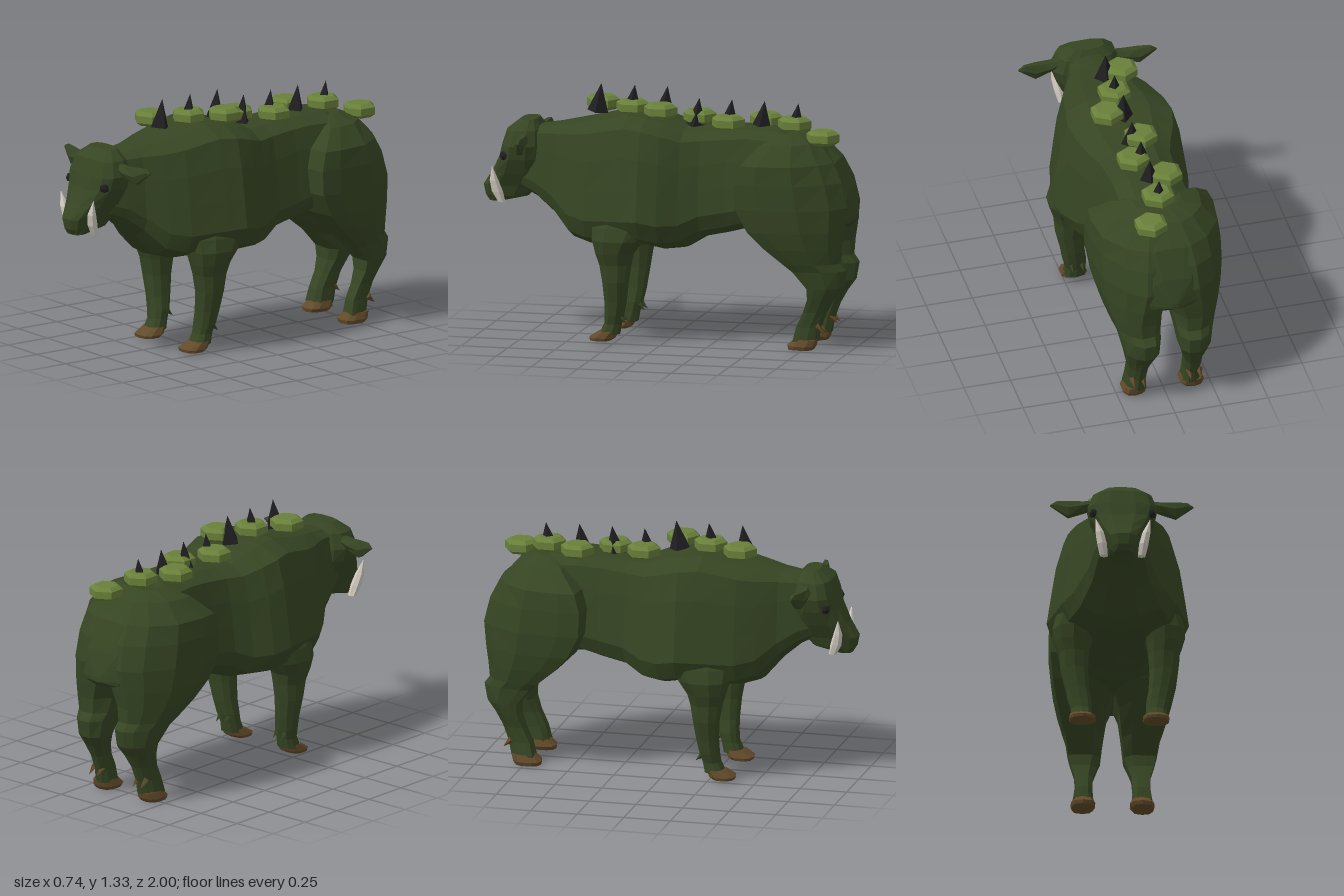
import * as THREE from 'three';

const mat = (name, color) => {
  const m = new THREE.MeshStandardMaterial({ color, flatShading: true });
  m.name = name;
  return m;
};

// Skin a stack of equal-sized rings, cap both ends and face the surface outwards.
function loft(rings) {
  const n = rings[0].length, tris = [];
  const centre = (r) => r.reduce((s, p) => s.add(p), new THREE.Vector3()).divideScalar(n);
  const first = rings[0], last = rings[rings.length - 1];
  const c0 = centre(first), c1 = centre(last);
  for (let j = 0; j < n; j++) {
    const k = (j + 1) % n;
    for (let i = 0; i < rings.length - 1; i++) {
      const a = rings[i], b = rings[i + 1];
      tris.push([a[j], a[k], b[k]], [a[j], b[k], b[j]]);
    }
    tris.push([c0, first[k], first[j]], [c1, last[j], last[k]]);
  }
  let volume = 0;
  for (const [a, b, c] of tris) volume += a.dot(b.clone().cross(c));
  const pts = tris.flatMap(([a, b, c]) => (volume < 0 ? [a, c, b] : [a, b, c]));
  const g = new THREE.BufferGeometry().setFromPoints(pts);
  g.computeVertexNormals();
  return g;
}

// Unit ring of n points; a power below 1 makes it squarer.
function unitRing(n, power) {
  const f = (v) => Math.sign(v) * Math.pow(Math.abs(v), power);
  return Array.from({ length: n }, (_, i) => {
    const t = ((i + 0.5) / n) * Math.PI * 2;
    return [f(Math.cos(t)), f(Math.sin(t))];
  });
}

// Horizontal slices: [y, zFront, zBack, xInner, xOuter], side = 1 or -1.
function slices(levels, ring, side = 1) {
  return loft(levels.map(([y, zf, zb, xi, xo]) => ring.map(([u, v]) => new THREE.Vector3(
    side * ((xi + xo) / 2 + (u * (xo - xi)) / 2), y, (zf + zb) / 2 + (v * (zf - zb)) / 2))));
}

export function createModel() {
  const hide = mat('dark green hide', 0x364523);
  const plateGreen = mat('moss green', 0x698039);
  const black = mat('black', 0x1f1f21);
  const ivory = mat('ivory', 0xd5cec4);
  const brown = mat('hoof brown', 0x624a2a);

  const model = new THREE.Group();
  model.name = 'armouredBoar';
  const add = (name, geometry, material) => {
    const m = new THREE.Mesh(geometry, material);
    m.name = name;
    model.add(m);
    return m;
  };

  // Torso: cross-sections [z, top, bottom, half width]
  const half = [[0, 0], [0.4, 0.02], [0.87, 0.1], [1, 0.24], [0.94, 0.46],
    [0.87, 0.7], [0.76, 0.91], [0.43, 0.985], [0, 1]];
  const outline = [...half, ...half.slice(1, -1).reverse().map(([x, y]) => [-x, y])];
  const torso = [
    [0.78, 1.08, 0.76, 0.11], [0.7, 1.1, 0.72, 0.14], [0.6, 1.115, 0.635, 0.17],
    [0.5, 1.135, 0.52, 0.24], [0.4, 1.155, 0.49, 0.295], [0.2, 1.2, 0.49, 0.345],
    [0.1, 1.19, 0.5, 0.37], [0, 1.165, 0.48, 0.345], [-0.1, 1.13, 0.49, 0.29],
    [-0.2, 1.13, 0.55, 0.25], [-0.34, 1.14, 0.58, 0.235], [-0.45, 1.145, 0.61, 0.235],
    [-0.6, 1.14, 0.6, 0.24], [-0.81, 1.065, 0.6, 0.22], [-0.9, 0.985, 0.62, 0.18],
    [-0.965, 0.83, 0.64, 0.13], [-1, 0.7, 0.67, 0.02],
  ];
  add('torso', loft(torso.map(([z, top, bottom, w]) =>
    outline.map(([x, y]) => new THREE.Vector3(x * w, bottom + y * (top - bottom), z)))), hide);

  // Head, from the poll down to the chin
  add('head', slices([
    [1.13, 0.8, 0.71, -0.09, 0.09], [1.08, 0.865, 0.68, -0.155, 0.155],
    [1.0, 0.89, 0.67, -0.185, 0.185], [0.93, 0.908, 0.67, -0.168, 0.168],
    [0.85, 0.95, 0.67, -0.13, 0.13], [0.775, 1.0, 0.71, -0.088, 0.088],
    [0.72, 0.99, 0.76, -0.07, 0.07], [0.69, 0.97, 0.89, -0.05, 0.05],
  ], unitRing(12, 0.72)), hide);

  // Hind leg outline: square in front, rounded off towards the tail
  const hindRing = [[1, 0.55], [0.96, 0.94], [0.3, 1], [-0.5, 1], [-1, 0.6],
    [-1, -0.5], [-0.6, -0.95], [0, -1], [0.47, -0.75], [0.9, -0.2]];
  const haunchLevels = [
    [1.12, -0.6, -0.72, -0.04, 0.13], [1.08, -0.53, -0.81, -0.08, 0.24],
    [0.98, -0.43, -0.895, -0.1, 0.33], [0.88, -0.4, -0.945, -0.08, 0.34],
    [0.75, -0.405, -0.975, -0.06, 0.34], [0.63, -0.47, -0.96, -0.01, 0.325],
    [0.54, -0.56, -0.945, 0.03, 0.3], [0.46, -0.655, -0.94, 0.043, 0.27],
    [0.42, -0.7, -0.97, 0.05, 0.25], [0.33, -0.775, -0.955, 0.06, 0.232],
    [0.27, -0.775, -0.91, 0.08, 0.218], [0.2, -0.75, -0.87, 0.1, 0.2],
    [0.12, -0.712, -0.84, 0.105, 0.197], [0.045, -0.695, -0.825, 0.1, 0.207],
  ];
  const frontLegLevels = [
    [0.74, 0.32, 0.06, 0.1, 0.28], [0.62, 0.38, 0.04, 0.1, 0.335],
    [0.55, 0.37, 0.09, 0.12, 0.35], [0.48, 0.35, 0.14, 0.145, 0.332],
    [0.42, 0.33, 0.155, 0.152, 0.312], [0.33, 0.313, 0.17, 0.157, 0.304],
    [0.22, 0.305, 0.185, 0.152, 0.277], [0.15, 0.305, 0.2, 0.14, 0.265],
    [0.1, 0.31, 0.215, 0.14, 0.25], [0.045, 0.335, 0.225, 0.135, 0.255],
  ];
  const earSections = [ // x, y, z, half height, half depth
    [0.14, 1.045, 0.755, 0.025, 0.025], [0.2, 1.03, 0.755, 0.033, 0.033],
    [0.28, 1.022, 0.745, 0.05, 0.03], [0.34, 1.047, 0.735, 0.027, 0.016],
    [0.372, 1.05, 0.73, 0.004, 0.004],
  ];
  const frontRing = unitRing(10, 0.85), hoofRing = unitRing(10, 0.75);
  const smallRing = unitRing(6, 1);

  for (const side of [1, -1]) {
    const tag = side > 0 ? 'left' : 'right';

    // Legs and hooves
    add(tag + 'HindLeg', slices(haunchLevels, hindRing, side), hide);
    add(tag + 'FrontLeg', slices(frontLegLevels, frontRing, side), hide);
    add(tag + 'HindHoof', slices([[0.055, -0.695, -0.825, 0.098, 0.208],
      [0.02, -0.66, -0.815, 0.088, 0.22], [0, -0.665, -0.8, 0.1, 0.213]], hoofRing, side), brown);
    add(tag + 'FrontHoof', slices([[0.06, 0.335, 0.235, 0.135, 0.255],
      [0.025, 0.39, 0.25, 0.12, 0.263], [0.01, 0.385, 0.27, 0.125, 0.258]], hoofRing, side), brown);

    // Dewclaws behind each ankle
    for (const [x, y, z] of [[0.17, 0.125, 0.205], [0.225, 0.125, 0.205],
      [0.125, 0.11, -0.84], [0.178, 0.11, -0.84]]) {
      const claw = add(tag + 'Dewclaw', new THREE.ConeGeometry(0.02, 0.06, 4), z > 0 ? hide : brown);
      claw.position.set(side * x, y, z);
      claw.rotation.x = -2.3;
    }

    // Ear
    add(tag + 'Ear', loft(earSections.map(([x, y, z, h, d]) =>
      smallRing.map(([u, v]) => new THREE.Vector3(side * x, y + u * h, z + v * d)))), hide);

    // Tusk
    add(tag + 'Tusk', slices([
      [0.695, 0.905, 0.865, 0.075, 0.12], [0.75, 0.935, 0.875, 0.08, 0.135],
      [0.81, 0.943, 0.895, 0.097, 0.145], [0.885, 0.927, 0.922, 0.139, 0.143],
    ], smallRing, side), ivory);

    // Eye, set almost flush into the side of the face
    const eye = add(tag + 'Eye', new THREE.IcosahedronGeometry(0.026, 0), black);
    eye.position.set(side * 0.153, 0.948, 0.862);
    eye.scale.x = 0.7;
    eye.rotation.y = -side * 0.7;
  }

  // Bevelled hexagonal plates along the back: [x, y, z]
  const plate = new THREE.LatheGeometry([[0, -0.037], [0.063, -0.037], [0.089, -0.019],
    [0.089, 0.019], [0.063, 0.037], [0, 0.037]].map(([x, y]) => new THREE.Vector2(x, y)), 6);
  for (const [x, y, z] of [[-0.087, 1.212, 0.386], [0, 1.212, 0.206], [0.085, 1.212, 0.036],
    [-0.05, 1.166, -0.14], [0.04, 1.157, -0.315], [-0.09, 1.157, -0.487],
    [0, 1.157, -0.66], [0.085, 1.108, -0.833]]) {
    add('backPlate', plate, plateGreen).position.set(x, y, z);
  }

  // Four-sided spikes along the spine: [tip height, z]
  const spike = new THREE.ConeGeometry(0.056, 0.15, 4);
  for (const [tip, z] of [[1.327, 0.385], [1.327, 0.205], [1.327, 0.03],
    [1.272, -0.14], [1.272, -0.315], [1.272, -0.49], [1.267, -0.67]]) {
    const s = add('backSpike', spike, black);
    s.position.set(0, tip - 0.075, z);
    s.rotation.x = -0.13;
  }
  return model;
}
